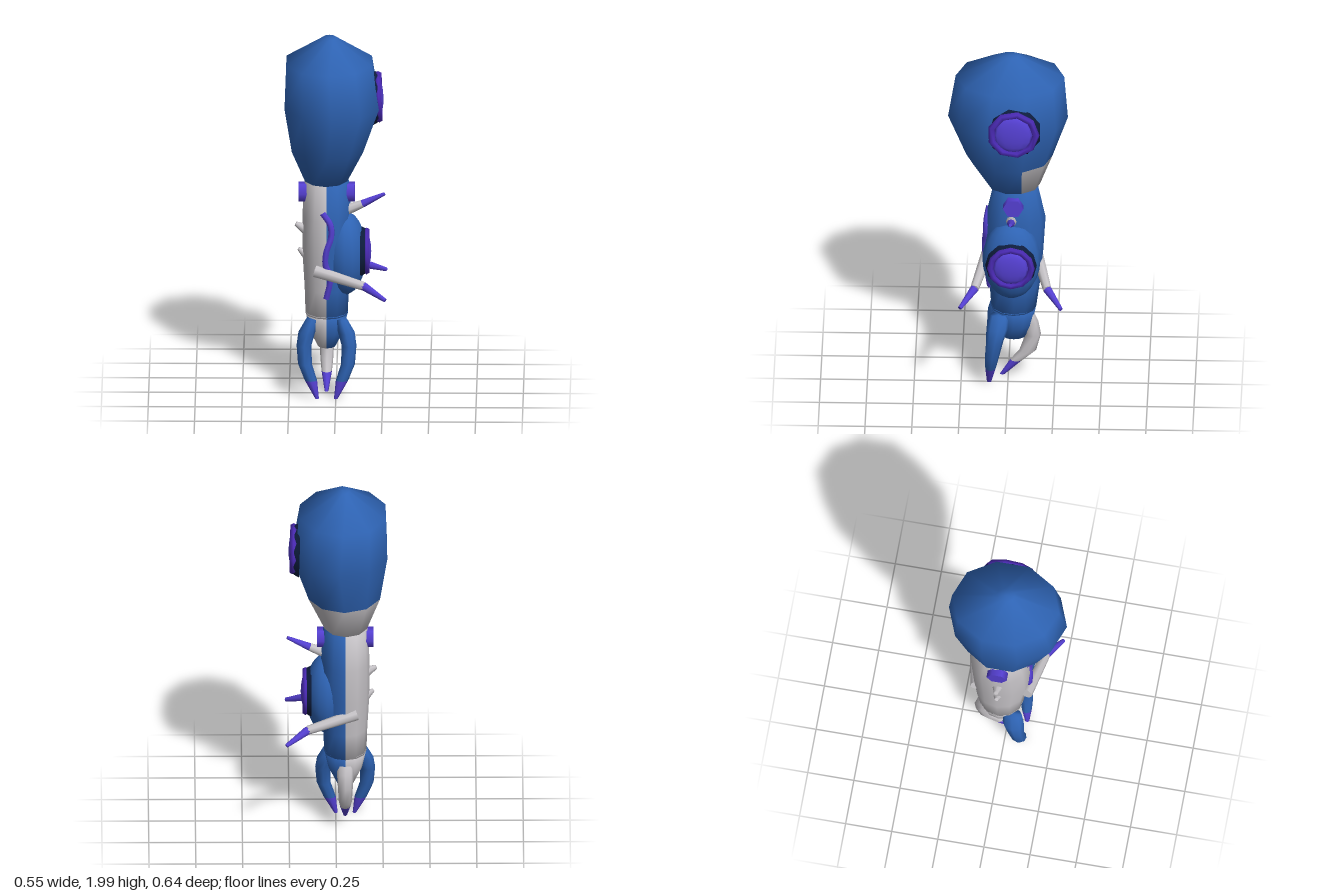
import * as THREE from 'three';

const mat = (name, color) => Object.assign(new THREE.MeshStandardMaterial({ color }), { name });

export function createModel() {
  const blue = mat('blue', 0x2e63b3);
  const grey = mat('pale grey', 0xc6c3c7);
  const purple = mat('purple', 0x5540d2);
  const violet = mat('deep violet', 0x4a2ab4);
  const navy = mat('dark navy', 0x0d1c3c);
  const group = new THREE.Group();

  const add = (name, geometry, material, pos = [0, 0, 0]) => {
    const mesh = new THREE.Mesh(geometry, material);
    mesh.name = name;
    mesh.position.set(...pos);
    group.add(mesh);
    return mesh;
  };

  // Skin over rings [x, y, z, rx, rz] listed upwards; pick(ring, side) gives a material index
  const loft = (rings, n, phase, pick) => {
    const geo = new THREE.BufferGeometry();
    const pos = [], faces = [[], []];
    for (const [x, y, z, rx, rz] of rings)
      for (let j = 0; j < n; j++) {
        const a = phase + (j / n) * Math.PI * 2;
        pos.push(x + rx * Math.cos(a), y, z + rz * Math.sin(a));
      }
    const last = rings.length - 1;
    const base = pos.length / 3;
    pos.push(...rings[0].slice(0, 3), ...rings[last].slice(0, 3));
    for (let j = 0; j < n; j++) {
      const k = (j + 1) % n;
      for (let i = 0; i < last; i++) {
        const a = i * n + j, b = i * n + k, c = a + n, d = b + n;
        faces[pick(i, j)].push(a, c, b, b, c, d);
      }
      faces[pick(0, j)].push(base, j, k);
      faces[pick(last - 1, j)].push(base + 1, last * n + k, last * n + j);
    }
    geo.setAttribute('position', new THREE.Float32BufferAttribute(pos, 3));
    geo.setIndex(faces.flat());
    geo.addGroup(0, faces[0].length, 0);
    geo.addGroup(faces[0].length, faces[1].length, 1);
    geo.computeVertexNormals();
    return geo;
  };

  // Tapered rod between two points
  const rod = (name, a, b, r0, r1, material) => {
    const p = new THREE.Vector3(...a), q = new THREE.Vector3(...b);
    const dir = q.clone().sub(p);
    const mesh = add(name, new THREE.CylinderGeometry(r1, r0, dir.length(), 8), material);
    mesh.position.copy(p).add(q).multiplyScalar(0.5);
    mesh.quaternion.setFromUnitVectors(new THREE.Vector3(0, 1, 0), dir.normalize());
  };

  // Shoulder with a pale patch low on the back
  add('shoulder', loft([
    [-0.053, 1.2, -0.03, 0.118, 0.14],
    [-0.045, 1.38, -0.007, 0.2, 0.23],
    [-0.022, 1.63, 0, 0.265, 0.32],
    [-0.037, 1.87, -0.01, 0.24, 0.29],
    [-0.035, 2.0, -0.01, 0.037, 0.05],
  ], 10, Math.PI / 10, (i, j) => (i === 0 && j >= 5 && j <= 8 ? 1 : 0)), [blue, grey]);

  // Forearm and palm, pale on the -x half
  const half = (i, j) => (j >= 3 && j < 9 ? 1 : 0);
  add('forearm', loft([
    [-0.05, 0.45, -0.03, 0.113, 0.12],
    [-0.05, 0.6, -0.035, 0.118, 0.135],
    [-0.05, 0.8, -0.03, 0.13, 0.158],
    [-0.05, 1.0, -0.04, 0.13, 0.16],
    [-0.05, 1.19, -0.04, 0.118, 0.12],
  ], 12, 0, half), [blue, grey]);
  add('palm', loft([
    [-0.05, 0.27, -0.03, 0.05, 0.065],
    [-0.05, 0.35, -0.03, 0.09, 0.1],
    [-0.05, 0.46, -0.03, 0.114, 0.121],
  ], 12, 0, half), [blue, grey]);

  // Two front claws and the thumb, each with a purple tip
  const tip = (i) => (i === 0 ? 1 : 0);
  for (const s of [1, -1]) {
    add(s > 0 ? 'leftClaw' : 'rightClaw', loft([
      [0.05, 0.01, 0.1, 0.01, 0.012],
      [0.083, 0.11, 0.092, 0.033, 0.028],
      [0.115, 0.2, 0.083, 0.037, 0.038],
      [0.12, 0.3, 0.068, 0.04, 0.046],
      [0.105, 0.37, 0.053, 0.045, 0.058],
      [0.08, 0.44, 0.045, 0.03, 0.05],
    ].map(([x, ...rest]) => [-0.05 + s * x, ...rest]), 8, 0, tip), [blue, purple]);
  }
  add('thumbClaw', loft([
    [-0.05, 0.03, 0.03, 0.01, 0.014],
    [-0.05, 0.12, -0.045, 0.028, 0.034],
    [-0.05, 0.18, -0.105, 0.035, 0.045],
    [-0.05, 0.28, -0.135, 0.04, 0.041],
    [-0.05, 0.36, -0.123, 0.045, 0.038],
    [-0.05, 0.43, -0.1, 0.04, 0.03],
  ], 8, 0, tip), [grey, purple]);

  // Elbow bulb on the outer side
  add('bulb', new THREE.SphereGeometry(1, 16, 12).scale(0.12, 0.23, 0.155), blue, [0.045, 0.79, -0.02]);

  // Round bosses: dark seat, rim and dome facing +x
  const boss = (name, pos, r, sides, tilt) => {
    const g = new THREE.Group();
    g.name = name;
    const part = (label, geo, material, x) => {
      const m = new THREE.Mesh(geo, material);
      m.name = label;
      m.position.x = x;
      g.add(m);
    };
    part('seat', new THREE.CylinderGeometry(r * 0.95, r * 1.08, 0.03, sides).rotateZ(-Math.PI / 2), navy, -0.018);
    part('rim', new THREE.TorusGeometry(r * 0.86, r * 0.14, 6, sides).rotateY(Math.PI / 2), violet, 0);
    part('dome', new THREE.SphereGeometry(1, 12, 8).scale(0.025, r * 0.74, r * 0.74), purple, 0);
    g.position.set(...pos);
    g.rotation.z = tilt;
    group.add(g);
  };
  boss('shoulderBoss', [0.228, 1.66, -0.035], 0.14, 9, 0.03);
  boss('elbowBoss', [0.163, 0.8, -0.02], 0.128, 12, 0);

  // Hexagonal pivot through the top of the forearm
  add('pivot', new THREE.CylinderGeometry(0.055, 0.055, 0.3, 6).rotateZ(Math.PI / 2), purple, [-0.05, 1.13, -0.03]);

  // Spikes: a matched pair front and back, and one above the bulb
  for (const s of [1, -1]) {
    const z = (d) => -0.02 + s * d;
    rod('sideSpike', [-0.11, 0.73, z(0.135)], [0.15, 0.665, z(0.195)], 0.033, 0.024, grey);
    rod('sideSpikeTip', [0.15, 0.665, z(0.195)], [0.265, 0.61, z(0.27)], 0.024, 0.011, purple);
  }
  rod('upperSpike', [0.04, 1.025, -0.02], [0.14, 1.065, -0.02], 0.032, 0.022, grey);
  rod('upperSpikeTip', [0.14, 1.065, -0.02], [0.26, 1.122, -0.02], 0.022, 0.009, purple);
  rod('smallSpike', [-0.16, 0.92, -0.03], [-0.215, 0.95, -0.03], 0.032, 0.012, grey);
  rod('smallSpike', [-0.16, 0.78, -0.03], [-0.2, 0.81, -0.03], 0.028, 0.01, grey);

  // Wavy stripe down the front seam
  const wave = new THREE.CatmullRomCurve3([
    [-0.07, 1.05, 0.1], [-0.03, 0.99, 0.113], [-0.025, 0.92, 0.116], [-0.05, 0.84, 0.122],
    [-0.055, 0.77, 0.12], [-0.03, 0.69, 0.11], [-0.05, 0.57, 0.095],
  ].map((p) => new THREE.Vector3(...p)));
  add('stripe', new THREE.TubeGeometry(wave, 36, 0.018, 6), purple);

  return group;
}
